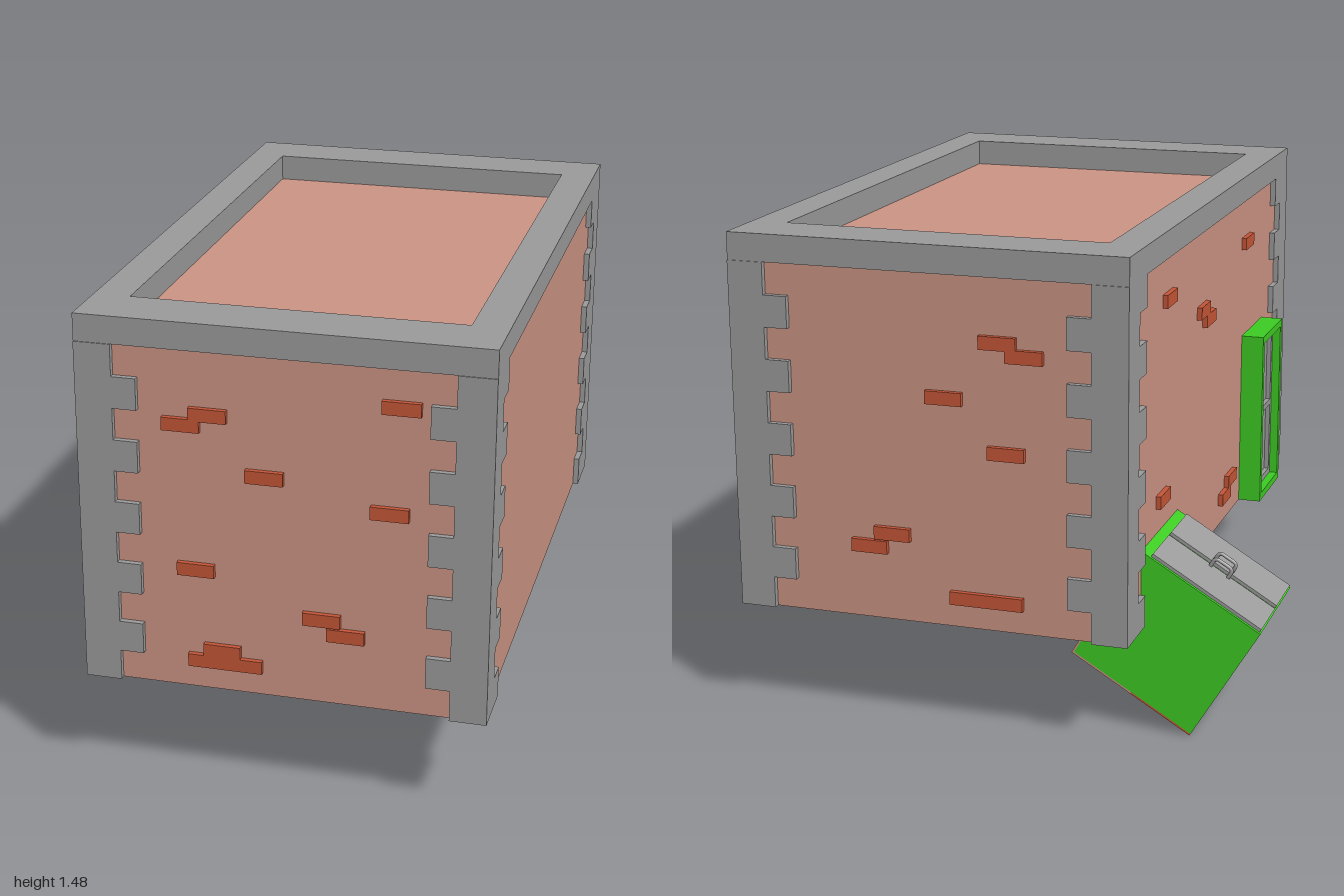
import * as THREE from 'three';

const mat = (name, color) => {
  const m = new THREE.MeshStandardMaterial({ color });
  m.name = name;
  return m;
};

export function createModel() {
  const model = new THREE.Group();
  model.name = 'building';
  const plaster = mat('plaster', 0xcd9585);
  const stone = mat('stone', 0x9c9c9c);
  const green = mat('green', 0x3ecd24);
  const brick = mat('brick', 0xc65738);
  const yellow = mat('yellow', 0xddcd2e);

  // Box given by its minimum and maximum corners
  const box = (parent, name, material, x0, x1, y0, y1, z0, z1) => {
    const mesh = new THREE.Mesh(new THREE.BoxGeometry(x1 - x0, y1 - y0, z1 - z0), material);
    mesh.position.set((x0 + x1) / 2, (y0 + y1) / 2, (z0 + z1) / 2);
    mesh.name = name;
    parent.add(mesh);
    return mesh;
  };
  const group = (name) => {
    const g = new THREE.Group();
    g.name = name;
    model.add(g);
    return g;
  };

  const L = -0.43, R = 0.785, base = 0.34, roof = 1.4, top = 1.483;
  const inset = 0.018;

  // Plastered core with flat roof
  box(model, 'walls', plaster, L + inset, R - inset, base, roof, -1 + inset, 1 - inset);

  // Parapet bars, each butting against the next
  const parapet = group('parapet');
  const e = 0.003;
  box(parapet, 'parapetFront', stone, -0.32, R, roof, top, 0.815, 1 - e);
  box(parapet, 'parapetBack', stone, L, 0.675, roof, top, -1 + e, -0.82);
  box(parapet, 'parapetLeft', stone, 0.675, R, roof, top, -1 + e, 0.815);
  box(parapet, 'parapetRight', stone, L, -0.32, roof, top, -0.82, 1 - e);

  // Corner stones, alternating long and short
  const quoins = group('cornerStones');
  const courses = 11, h = (roof - base) / courses;
  for (const sx of [-1, 1]) for (const sz of [-1, 1]) {
    for (let i = 0; i < courses; i++) {
      const w = i % 2 ? 0.182 : 0.11;
      const d = i % 2 ? 0.11 : 0.183;
      const x = sx < 0 ? L : R - w;
      const z = sz < 0 ? -1 : 1 - d;
      box(quoins, 'cornerStone', stone, x, x + w, base + i * h, base + (i + 1) * h, z, z + d);
    }
  }

  // Exposed bricks on the end walls: centre x, centre y, width
  const bricks = group('exposedBricks');
  const bh = 0.02, out = 0.998, w = 0.112;
  const shared = [
    [-0.04, 1.21, w], [-0.12, 1.175, w], [0.125, 1.037, w], [0.293, 0.61, w],
    [0.365, 0.566, w], [0.002, 0.432, 0.225],
  ];
  const front = [...shared, [0.52, 1.286, w], [0.49, 0.966, w], [-0.083, 0.726, w], [-0.007, 0.47, w]];
  const back = [...shared, [-0.063, 0.885, w]];
  for (const [x, y, bw] of front)
    box(bricks, 'frontBrick', brick, x - bw / 2, x + bw / 2, y - bh, y + bh, 0.95, out);
  for (const [x, y, bw] of back)
    box(bricks, 'backBrick', brick, x - bw / 2, x + bw / 2, y - bh, y + bh, -out, -0.95);

  // Exposed bricks on the door side: centre z, centre y
  const side = [
    [-0.534, 1.268], [-0.13, 1.14], [-0.06, 1.1], [0.455, 1.248],
    [0.265, 0.47], [0.185, 0.43], [-0.59, 0.666],
  ];
  for (const [z, y] of side)
    box(bricks, 'sideBrick', brick, L + 0.002, L + 0.06, y - bh, y + bh, z - w / 2, z + w / 2);

  // Door: green surround, grey frame with two sunken panels
  const door = group('door');
  const dx = -0.487, z0 = 0.425, z1 = 0.716, y1 = 0.925, t = 0.025;
  box(door, 'doorJamb', green, dx, L + 0.03, base, y1, z0, z0 + t);
  box(door, 'doorJamb', green, dx, L + 0.03, base, y1, z1 - t, z1);
  box(door, 'doorHead', green, dx, L + 0.03, y1 - t, y1, z0 + t, z1 - t);
  box(door, 'doorSill', green, dx, L + 0.03, base, base + t, z0 + t, z1 - t);
  box(door, 'doorPanel', stone, -0.445, L + 0.03, base + t, y1 - t, z0 + t, z1 - t);
  const a = z0 + t, b = z1 - t, lo = base + t, hi = y1 - t, s = 0.02;
  for (const z of [a, b - s]) box(door, 'doorStile', stone, -0.46, -0.445, lo, hi, z, z + s);
  for (const y of [lo, (lo + hi - s) / 2, hi - s])
    box(door, 'doorRail', stone, -0.46, -0.445, y, y + s, a + s, b - s);

  // Tilted cabinet under the back corner
  const cabinet = group('tiltedCabinet');
  cabinet.position.set(-0.565, 0.002, 0);
  cabinet.rotation.z = THREE.MathUtils.degToRad(31);
  const W = 0.43, H = 0.405, c0 = -0.8, c1 = -0.395, p = 0.006, cm = -0.6;
  box(cabinet, 'cabinetBody', green, 0, W - p, p, H, c0, c1);
  // Coloured plates on the underside and the far end
  box(cabinet, 'redPlate', brick, 0, W / 2, 0, p, c0, c1);
  box(cabinet, 'pinkPlate', plaster, W / 2, W, 0, p, c0, c1);
  box(cabinet, 'yellowEndPlate', yellow, W - p, W, p, H, cm, c1);
  box(cabinet, 'pinkEndPlate', plaster, W - p, W, p, H, c0, cm);
  // Two grey doors with loop handles
  for (const [za, zb, zh] of [[-0.79, -0.612, -0.624], [-0.588, -0.405, -0.572]]) {
    box(cabinet, 'cabinetDoor', stone, 0.005, 0.39, H, H + 0.01, za, zb);
    const path = new THREE.CatmullRomCurve3([
      [0.172, H], [0.172, H + 0.03], [0.18, H + 0.04], [0.227, H + 0.04], [0.235, H + 0.03], [0.235, H],
    ].map(([x, y]) => new THREE.Vector3(x, y, zh)), false, 'catmullrom', 0.2);
    const handle = new THREE.Mesh(new THREE.TubeGeometry(path, 24, 0.006, 8), stone);
    handle.name = 'cabinetHandle';
    cabinet.add(handle);
  }

  return model;
}
